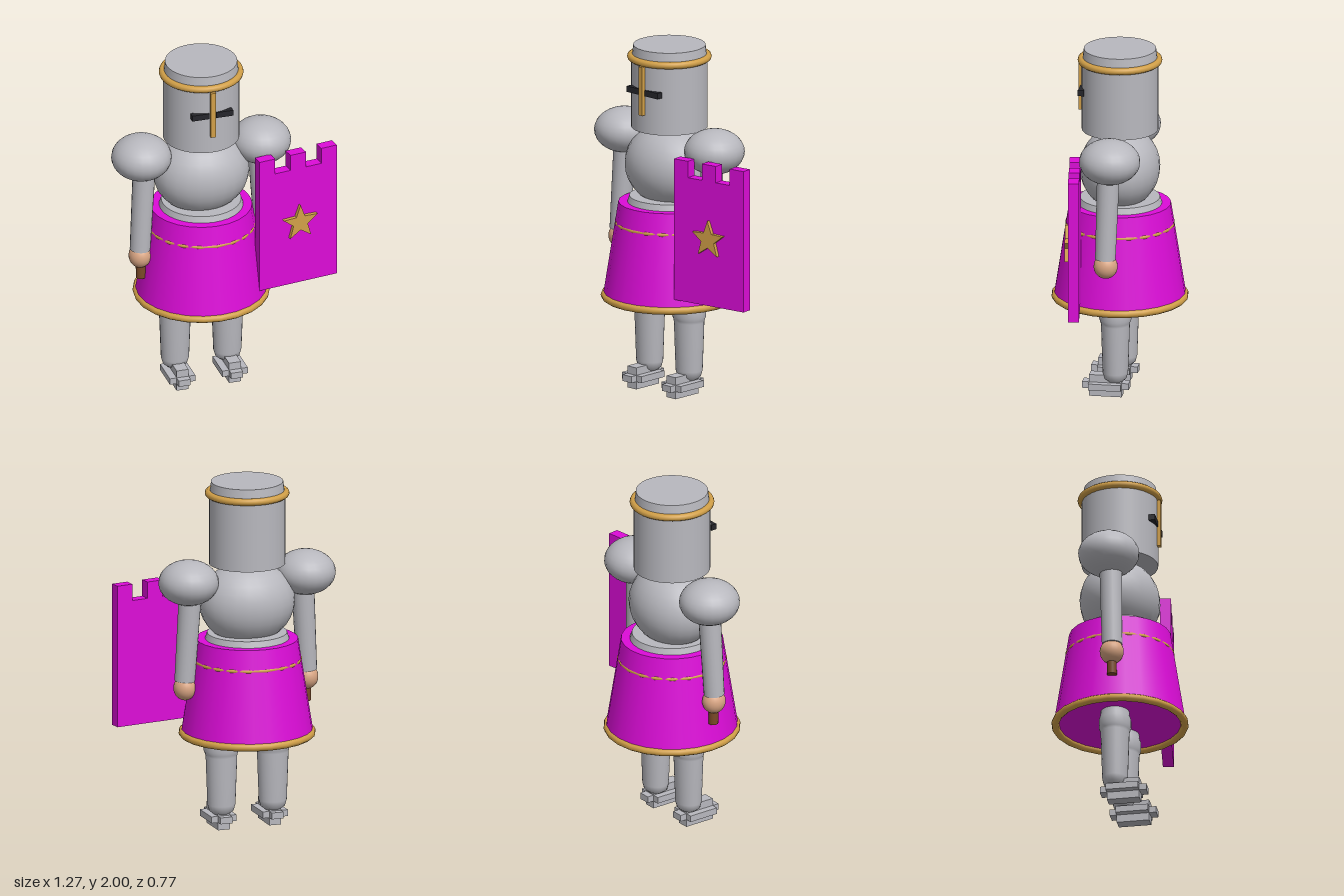
import * as THREE from 'three';

const mat = (name, color) => {
  const m = new THREE.MeshStandardMaterial({ color });
  m.name = name;
  return m;
};

export function createModel() {
  const steel = mat('steel', 0xb8b8be);
  const magenta = mat('magenta', 0xdc0cd8);
  const gold = mat('gold', 0xd2a048);
  const black = mat('black', 0x26262b);
  const skin = mat('skin', 0xd9a583);
  const brown = mat('brown', 0x7a4a28);

  const model = new THREE.Group();
  model.name = 'knight';
  // The body stands left of centre because the shield reaches out on one side
  const body = new THREE.Group();
  body.name = 'body';
  body.position.x = -0.115;
  model.add(body);

  const add = (parent, name, geo, material, x = 0, y = 0, z = 0) => {
    const m = new THREE.Mesh(geo, material);
    m.name = name;
    m.position.set(x, y, z);
    parent.add(m);
    return m;
  };
  const box = (w, h, d) => new THREE.BoxGeometry(w, h, d);
  const ball = (rx, ry, rz) => new THREE.SphereGeometry(1, 24, 16).scale(rx, ry, rz);
  const ring = (r, tube, seg) => new THREE.TorusGeometry(r, tube, 10, seg).rotateX(Math.PI / 2);
  // Tapered round bar between two points
  const bar = (parent, name, a, b, ra, rb, material) => {
    const p = new THREE.Vector3(...a), q = new THREE.Vector3(...b);
    const m = add(parent, name, new THREE.CylinderGeometry(rb, ra, p.distanceTo(q), 20), material);
    m.position.copy(p).add(q).multiplyScalar(0.5);
    m.quaternion.setFromUnitVectors(new THREE.Vector3(0, 1, 0), q.sub(p).normalize());
    return m;
  };

  // Helmet with crown ring, eye slits and nose bar
  add(body, 'helmet', new THREE.CylinderGeometry(0.215, 0.215, 0.41, 40), steel, 0, 1.73);
  add(body, 'helmetTop', new THREE.CylinderGeometry(0.203, 0.212, 0.075, 40), steel, 0, 1.9625);
  add(body, 'helmetRing', ring(0.218, 0.02, 40), gold, 0, 1.932);
  for (const s of [-1, 1]) add(body, 'eyeSlit', box(0.1, 0.034, 0.035), black, s * 0.07, 1.76, 0.203);
  add(body, 'noseBar', box(0.03, 0.28, 0.03), gold, 0, 1.77, 0.22);

  // Torso and waist
  add(body, 'torso', ball(0.275, 0.235, 0.225), steel, 0, 1.3);
  add(body, 'waist', new THREE.CylinderGeometry(0.225, 0.245, 0.06, 32), steel, 0, 1.095);

  // Skirt with belt and hem
  add(body, 'skirt', new THREE.CylinderGeometry(0.287, 0.372, 0.54, 24), magenta, 0, 0.82);
  add(body, 'belt', ring(0.296, 0.013, 20), gold, 0, 0.97);
  add(body, 'hem', ring(0.364, 0.022, 24), gold, 0, 0.547);

  // Leg profile from ankle to thigh, with a knee guard
  const legProfile = [[0, 0.078], [0.045, 0.085], [0.07, 0.105], [0.08, 0.14], [0.09, 0.42],
    [0.093, 0.435], [0.101, 0.455], [0.101, 0.5], [0.092, 0.525], [0.088, 0.57]]
    .map(([r, y]) => new THREE.Vector2(r, y));

  for (const s of [-1, 1]) {
    const side = s > 0 ? 'left' : 'right';
    // Shoulder, arm and hand
    add(body, side + 'Shoulder', ball(0.17, 0.128, 0.172), steel, s * 0.351, 1.442);
    bar(body, side + 'Arm', [s * 0.366, 0.87, 0.022], [s * 0.335, 1.42, 0.008], 0.058, 0.065, steel);
    add(body, side + 'Hand', ball(0.064, 0.07, 0.068), skin, s * 0.366, 0.828, 0.02);
    // Leg and stepped shoe
    const leg = new THREE.Group();
    leg.name = side + 'Leg';
    leg.position.x = s * 0.154;
    body.add(leg);
    add(leg, 'leg', new THREE.LatheGeometry(legProfile, 24).scale(1, 1, 0.9), steel);
    add(leg, 'shoeCore', box(0.07, 0.125, 0.185), steel, 0, 0.0625, 0.052);
    add(leg, 'shoeSides', box(0.15, 0.037, 0.185), steel, 0, 0.063, 0.052);
    add(leg, 'shoeEnds', box(0.07, 0.037, 0.265), steel, 0, 0.063, 0.052);
  }

  // Stick held along the right arm
  bar(body, 'stick', [-0.36, 0.69, 0.02], [-0.377, 1.33, 0.012], 0.028, 0.025, brown);

  // Battlement-topped shield, turned slightly outward
  const shield = new THREE.Group();
  shield.name = 'shield';
  shield.position.set(0.387, 0, 0.175);
  shield.rotation.y = 0.145;
  model.add(shield);
  const w = 0.481, t = 0.062;
  const outline = new THREE.Shape();
  outline.moveTo(-w / 2, 0.612);
  outline.lineTo(w / 2, 0.612);
  for (let i = 4; i >= 0; i--) {
    const y = i % 2 ? 1.335 : 1.43;
    outline.lineTo(-w / 2 + (i + 1) * w / 5, y);
    outline.lineTo(-w / 2 + i * w / 5, y);
  }
  outline.closePath();
  add(shield, 'shieldPlate', new THREE.ExtrudeGeometry(outline, { depth: t, bevelEnabled: false }),
    magenta, 0, 0, -t / 2);

  // Five-pointed star emblem
  const star = new THREE.Shape();
  for (let i = 0; i < 10; i++) {
    const r = i % 2 ? 0.046 : 0.11, a = Math.PI / 2 + i * Math.PI / 5;
    star[i ? 'lineTo' : 'moveTo'](r * Math.cos(a), r * Math.sin(a));
  }
  star.closePath();
  add(shield, 'star', new THREE.ExtrudeGeometry(star, { depth: 0.024, bevelEnabled: false }),
    gold, 0.005, 1.0, t / 2 - 0.002);

  return model;
}
